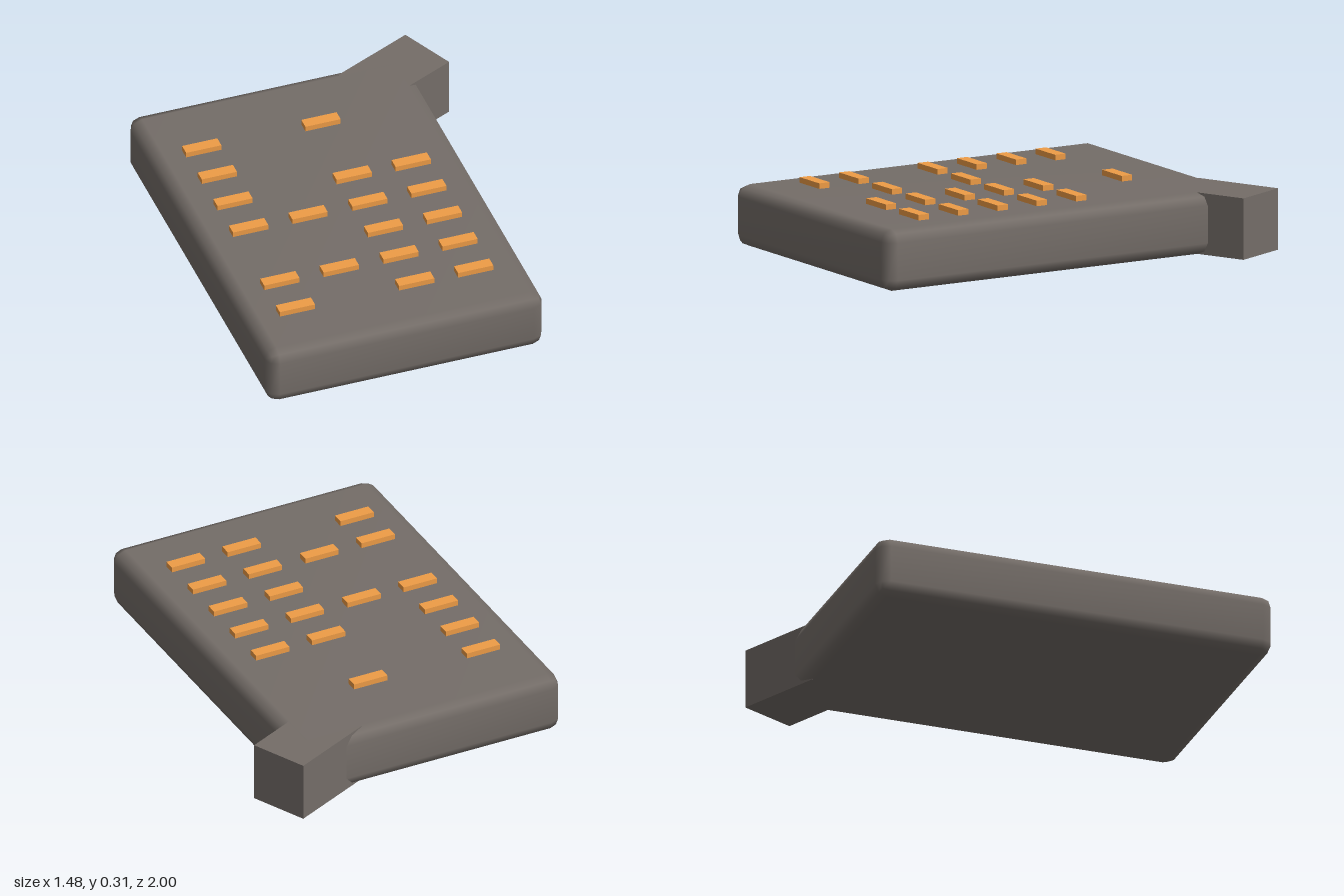
import * as THREE from 'three';
import { mergeVertices } from 'three/addons/utils/BufferGeometryUtils.js';
import { RoundedBoxGeometry } from 'three/addons/geometries/RoundedBoxGeometry.js';

const HEIGHT = 0.28;

export function createModel() {
  const model = new THREE.Group();
  const shellMaterial = new THREE.MeshStandardMaterial({ color: 0x746d68 });
  const keyMaterial = new THREE.MeshStandardMaterial({ color: 0xee9c46 });

  // Body: bevelled slab with normals smoothed across the bevels
  let slab = new RoundedBoxGeometry(1.305, HEIGHT, 1.87, 1, 0.055);
  slab.deleteAttribute('uv');
  slab.deleteAttribute('normal');
  slab = mergeVertices(slab, 1e-4);
  slab.computeVertexNormals();
  const body = new THREE.Mesh(slab, shellMaterial);
  body.name = 'body';
  body.position.set(-0.0875, HEIGHT / 2, 0.065);
  model.add(body);

  // Arm: square-edged block leaving the back left corner at an angle,
  // a hair thinner than the body so their faces do not coincide
  const arm = new THREE.Mesh(new THREE.BoxGeometry(0.42, HEIGHT - 0.002, 0.277), shellMaterial);
  arm.name = 'arm';
  arm.position.set(0.489, HEIGHT / 2, -0.787);
  arm.rotation.y = 0.432;
  model.add(arm);

  // Keys: columns filled in each row, from back to front
  const columns = [-0.512, -0.232, 0.05, 0.328];
  const rows = [[0, 2], [0], [0, 2, 3], [0, 1, 2, 3], [2, 3], [0, 1, 2, 3], [0, 2, 3]];
  const keyGeometry = new THREE.BoxGeometry(0.166, 0.045, 0.054);
  const keys = new THREE.Group();
  keys.name = 'keys';
  rows.forEach((filled, row) => {
    for (const column of filled) {
      const key = new THREE.Mesh(keyGeometry, keyMaterial);
      key.name = 'key';
      key.position.set(columns[column], HEIGHT + 0.0025, -0.515 + row * 0.205);
      keys.add(key);
    }
  });
  model.add(keys);

  return model;
}
